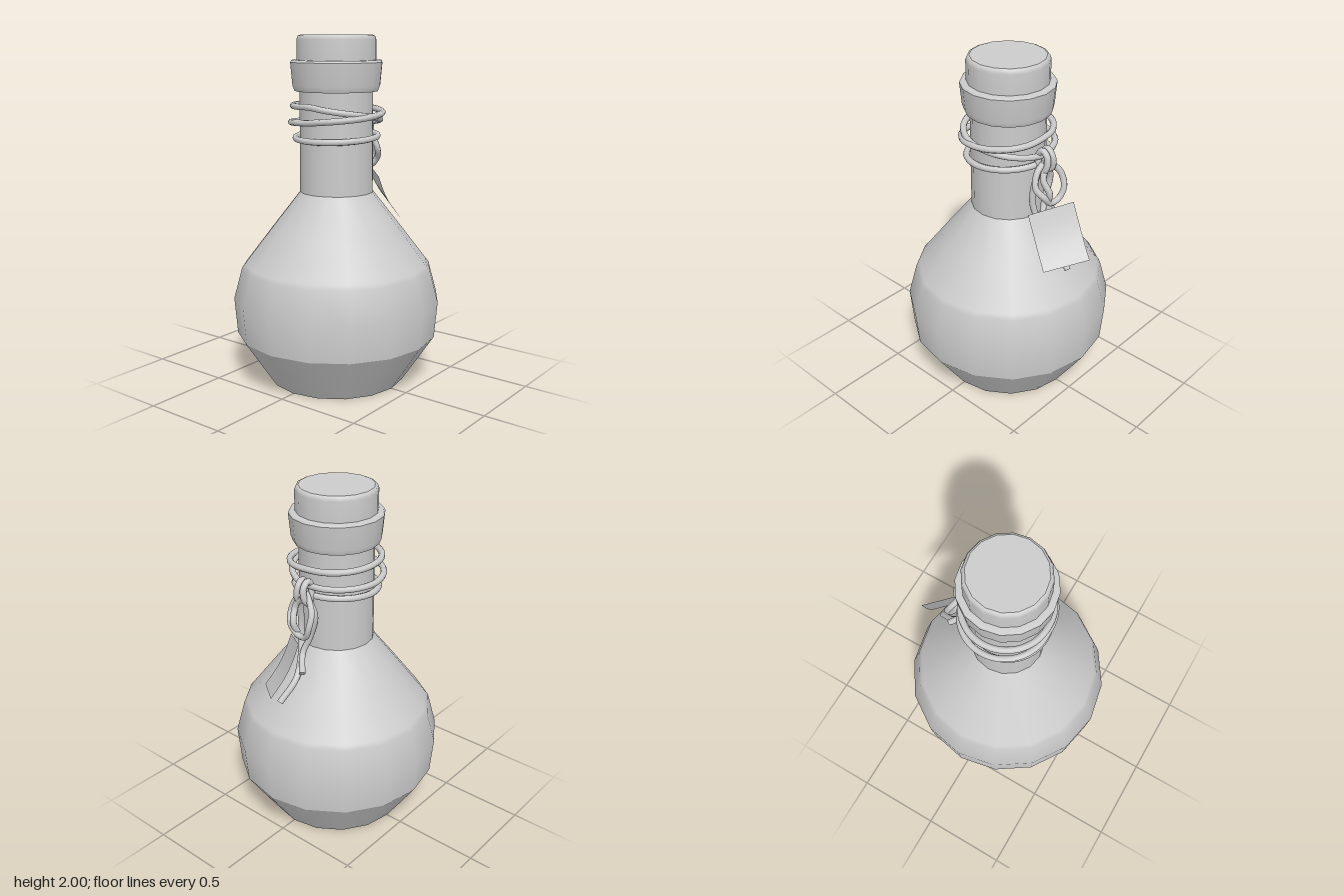
import * as THREE from 'three';

const material = new THREE.MeshStandardMaterial({ color: 0xcccccc, side: THREE.DoubleSide });
const SIDES = 16;

function add(parent, name, geometry) {
  const mesh = new THREE.Mesh(geometry, material);
  mesh.name = name;
  parent.add(mesh);
  return mesh;
}

// One smooth band of a turned part; separate bands keep the edges between them sharp.
function turned(parent, name, profile) {
  return add(parent, name, new THREE.LatheGeometry(profile.map(([r, y]) => new THREE.Vector2(r, y)), SIDES));
}

// Round cord through points, with closed ends.
function cord(parent, name, points, closed = false, radius = 0.018) {
  const curve = new THREE.CatmullRomCurve3(points.map(p => new THREE.Vector3(...p)), closed);
  add(parent, name, new THREE.TubeGeometry(curve, points.length * 6, radius, 8, closed));
  if (closed) return;
  for (const t of [0, 1]) {
    const cap = add(parent, name + 'End', new THREE.CircleGeometry(radius, 8));
    cap.position.copy(curve.getPoint(t));
    cap.lookAt(cap.position.clone().addScaledVector(curve.getTangent(t), t ? 1 : -1));
  }
}

// Tag: a bilinear patch between four corners, sagging along its length.
function tagGeometry() {
  const [a, b, c, d] = [[0.255, 1.175, 0.12], [0.41, 1.235, -0.08], [0.58, 0.955, -0.025], [0.42, 0.90, 0.175]]
    .map(p => new THREE.Vector3(...p));
  const normal = d.clone().sub(a).cross(b.clone().sub(a)).normalize();
  const geometry = new THREE.PlaneGeometry(1, 1, 2, 8);
  const pos = geometry.attributes.position;
  for (let i = 0; i < pos.count; i++) {
    const u = pos.getX(i) + 0.5, v = 0.5 - pos.getY(i);
    const p = a.clone().lerp(b, u).lerp(d.clone().lerp(c, u), v);
    p.addScaledVector(normal, -0.018 * Math.sin(Math.PI * v));
    pos.setXYZ(i, p.x, p.y, p.z);
  }
  geometry.computeVertexNormals();
  return geometry;
}

export function createModel() {
  const model = new THREE.Group();
  model.name = 'corkedBottle';

  // Glass body, open underneath
  const bottle = new THREE.Group();
  bottle.name = 'bottle';
  model.add(bottle);
  turned(bottle, 'lowerBody', [[0.4, 0], [0.5, 0.15], [0.585, 0.28]]);
  turned(bottle, 'belly', [[0.585, 0.28], [0.603, 0.49], [0.553, 0.675], [0.533, 0.7]]);
  turned(bottle, 'shoulder', [[0.533, 0.7], [0.38, 0.9], [0.212, 1.115]]);
  turned(bottle, 'neck', [[0.212, 1.115], [0.21, 1.7]]);

  // Flared lip
  turned(bottle, 'lipUnderside', [[0.2, 1.69], [0.238, 1.69]]);
  turned(bottle, 'lip', [[0.238, 1.69], [0.25, 1.72], [0.262, 1.85]]);
  turned(bottle, 'lipTop', [[0.262, 1.85], [0.255, 1.862], [0.2, 1.862]]);

  // Cork stopper
  turned(model, 'cork', [[0.226, 1.86], [0.226, 1.975], [0.218, 1.995], [0.205, 2]]);
  turned(model, 'corkTop', [[0.206, 2], [0, 2]]);

  // Cord wound twice round the neck, crossing itself
  const string = new THREE.Group();
  string.name = 'string';
  model.add(string);
  const heights = [1.49, 1.555, 1.61, 1.605, 1.59, 1.56, 1.525, 1.505, 1.5];
  const wrap = [];
  for (let i = 0; i <= 32; i++) {
    const angle = i * Math.PI / 8, k = Math.min(Math.floor(i / 4), 7);
    const y = THREE.MathUtils.lerp(heights[k], heights[k + 1], i / 4 - k);
    const r = 0.242 + 0.022 * Math.abs(Math.sin(angle)) * (i < 16 ? 0.3 : 1);
    wrap.push([r * Math.cos(angle), y, r * Math.sin(angle)]);
  }
  cord(string, 'crossedWrap', wrap);

  // Lower ring round the neck
  const ring = [];
  for (let i = 0; i < 16; i++) {
    const angle = i * Math.PI / 8;
    ring.push([0.232 * Math.cos(angle), 1.432 + 0.012 * Math.cos(angle), 0.235 * Math.sin(angle)]);
  }
  cord(string, 'lowerRing', ring, true);

  // Knot: two small upright loops over the wraps
  for (const z of [-0.02, 0.02])
    cord(string, 'knotLoop', [[0.235, 1.5, z], [0.265, 1.535, z], [0.3, 1.5, z], [0.295, 1.43, z * 1.4], [0.26, 1.41, z * 1.4]], true);

  // Bow of cord that carries the tag
  cord(string, 'tagLoop', [
    [0.27, 1.46, 0.02], [0.265, 1.42, 0.06], [0.28, 1.34, 0.09], [0.32, 1.28, 0.06], [0.32, 1.23, 0.01],
    [0.325, 1.235, -0.05], [0.335, 1.3, -0.085], [0.31, 1.38, -0.085], [0.28, 1.44, -0.04], [0.27, 1.47, -0.01]]);
  cord(string, 'tagHanger', [
    [0.29, 1.45, 0.01], [0.295, 1.38, 0.045], [0.33, 1.3, 0.03], [0.31, 1.24, 0.02]]);

  // Loose ends
  cord(string, 'longTail', [
    [0.27, 1.45, 0.02], [0.245, 1.36, 0.05], [0.235, 1.22, 0.06], [0.265, 1.1, 0.035], [0.36, 0.98, -0.01], [0.465, 0.86, 0.02]]);
  cord(string, 'shortTail', [
    [0.27, 1.45, -0.02], [0.255, 1.34, -0.06], [0.25, 1.2, -0.02], [0.28, 1.1, 0.01], [0.36, 1.025, -0.055]]);

  // Paper tag
  add(model, 'tag', tagGeometry());
  return model;
}
